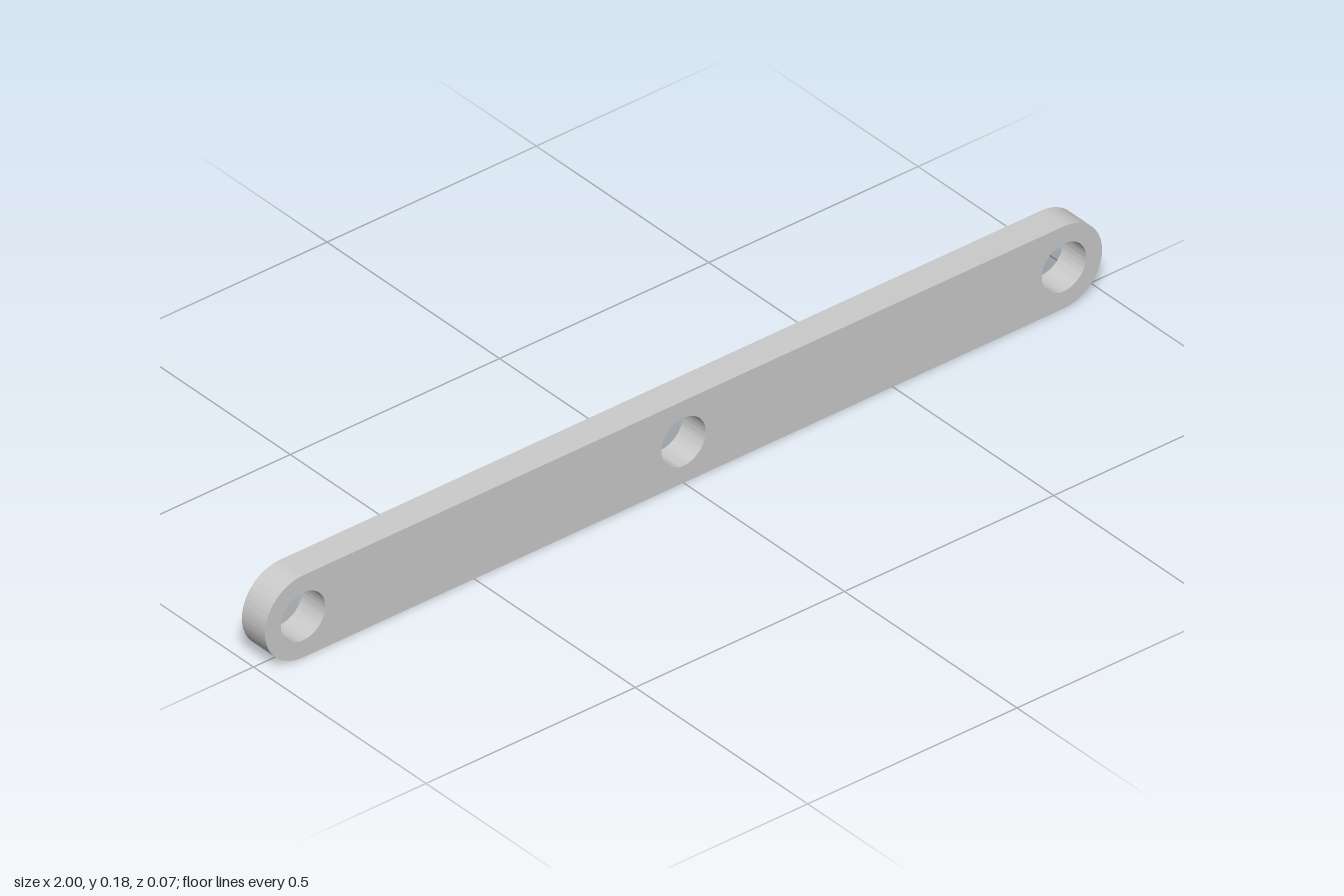
import * as THREE from 'three';
import { toCreasedNormals } from 'three/addons/utils/BufferGeometryUtils.js';

const RADIUS = 0.091; // rounded end radius, half the bar height
const HOLE_RADIUS = 0.053;
const THICKNESS = 0.067;
const REACH = 1 - RADIUS; // distance from the middle to each end hole

export function createModel() {
  const group = new THREE.Group();
  group.name = 'linkBar';

  // Bar outline with fully rounded ends
  const outline = new THREE.Shape();
  outline.absarc(REACH, RADIUS, RADIUS, -Math.PI / 2, Math.PI / 2, false);
  outline.absarc(-REACH, RADIUS, RADIUS, Math.PI / 2, Math.PI * 1.5, false);
  outline.closePath();

  // Pin holes at both ends and in the middle
  for (const x of [-REACH, 0, REACH]) {
    const hole = new THREE.Path();
    hole.absarc(x, RADIUS, HOLE_RADIUS, 0, Math.PI * 2, true);
    outline.holes.push(hole);
  }

  const geometry = new THREE.ExtrudeGeometry(outline, {
    depth: THICKNESS,
    bevelEnabled: false,
    curveSegments: 32,
  });
  geometry.translate(0, 0, -THICKNESS / 2);

  const bar = new THREE.Mesh(
    toCreasedNormals(geometry, 0.6),
    new THREE.MeshStandardMaterial({ color: 0xcccccc })
  );
  bar.name = 'bar';
  group.add(bar);
  return group;
}
